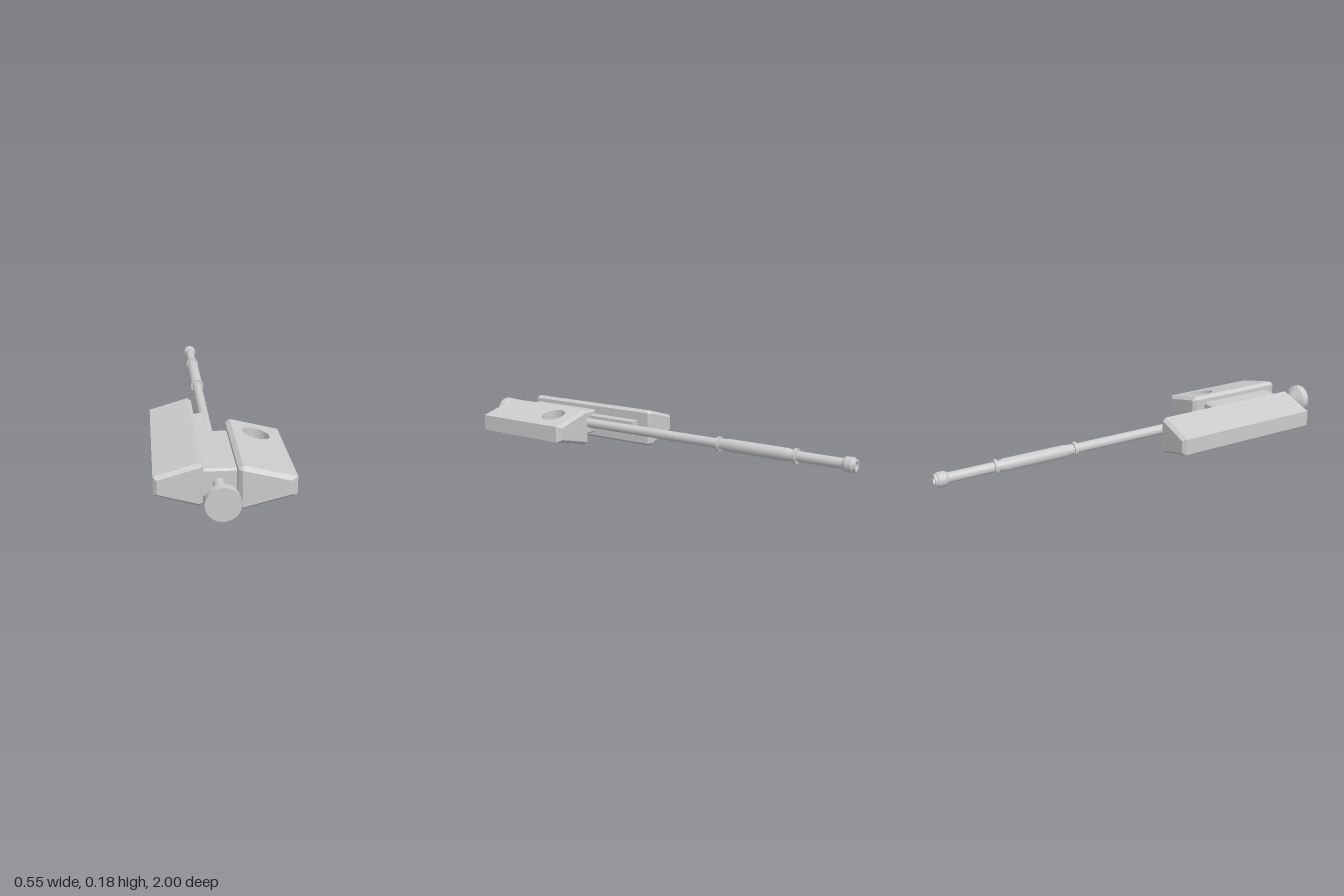
import * as THREE from 'three';
import { mergeGeometries, toCreasedNormals } from 'three/addons/utils/BufferGeometryUtils.js';

const CX = -0.023, CY = 0.093; // axis of the shaft
const material = new THREE.MeshStandardMaterial({ color: 0xcccccc });

function addPart(group, name, geometry, crease = 0.3) {
  const mesh = new THREE.Mesh(toCreasedNormals(geometry, crease), material);
  mesh.name = name;
  group.add(mesh);
  return mesh;
}

// Cross-section symmetric about CY, from [x, half height] pairs running away from the shaft
function ring(half) {
  const pts = [...half.map(([x, h]) => [x, CY - h]), ...half.map(([x, h]) => [x, CY + h]).reverse()];
  return half[0][0] < half[half.length - 1][0] ? pts : pts.reverse(); // counter-clockwise from the front
}

// Solid through rings placed at rising z; skip(segment, edge) leaves a face open
function loft(rings, zs, skip = () => false) {
  const out = [], n = rings[0].length;
  const put = (...corners) => corners.forEach(([k, i]) => out.push(...rings[k][i % n], zs[k]));
  for (let k = 0; k < zs.length - 1; k++) {
    for (let i = 0; i < n; i++) {
      if (skip(k, i)) continue;
      put([k, i], [k, i + 1], [k + 1, i + 1], [k, i], [k + 1, i + 1], [k + 1, i]);
    }
  }
  const last = zs.length - 1;
  for (let i = 1; i < n - 1; i++) {
    put([last, 0], [last, i], [last, i + 1]);
    put([0, 0], [0, i + 1], [0, i]);
  }
  const g = new THREE.BufferGeometry();
  g.setAttribute('position', new THREE.Float32BufferAttribute(out, 3));
  return g;
}

// Solid with bevelled ends
function bevelled(half, insetHalf, z0, z1, bevel, skip) {
  const full = ring(half), inset = ring(insetHalf);
  return loft([inset, full, full, inset], [z0, z0 + bevel, z1 - bevel, z1], skip);
}

// Keep positions only, optionally turning the faces around
function bare(g, flip) {
  if (flip) g.index.array.reverse();
  const out = g.toNonIndexed();
  out.deleteAttribute('uv');
  out.deleteAttribute('normal');
  return out;
}

function holedBlock() {
  const shoulder = [0.065, 0.09], outer = [0.274, 0.038];
  const z0 = 0.36, z1 = 0.88, bevel = 0.018, hx = 0.165, hz = 0.49, r = 0.057;
  const height = x => THREE.MathUtils.mapLinear(x, shoulder[0], outer[0], shoulder[1], outer[1]);
  const shell = bevelled(
    [[0.047, 0.077], shoulder, outer],
    [[0.062, 0.073], [0.066, 0.075], [0.246, 0.029]],
    z0, z1, bevel, (k, i) => k === 1 && (i === 1 || i === 3));

  // Sloping panels pierced by the hole
  const a = z0 + bevel, b = z1 - bevel;
  const plan = new THREE.Shape([[shoulder[0], a], [outer[0], a], [outer[0], b], [shoulder[0], b]]
    .map(p => new THREE.Vector2(...p)));
  plan.holes.push(new THREE.Path().absarc(hx, hz, r, 0, Math.PI * 2, true));
  const panel = side => {
    const g = new THREE.ShapeGeometry(plan, 16).rotateX(Math.PI / 2);
    const p = g.attributes.position;
    for (let i = 0; i < p.count; i++) p.setY(i, CY + side * height(p.getX(i)));
    return bare(g, side > 0);
  };

  // Wall of the hole, trimmed to the slopes
  const wall = new THREE.CylinderGeometry(r, r, 1, 32, 1, true).translate(hx, 0, hz);
  const p = wall.attributes.position;
  for (let i = 0; i < p.count; i++) p.setY(i, CY + Math.sign(p.getY(i)) * height(p.getX(i)));

  return mergeGeometries([shell, panel(1), panel(-1), bare(wall, true)]);
}

export function createModel() {
  const group = new THREE.Group();

  // Shaft with grip, collars, end cap and front knob: [radius, z]
  const profile = [
    [0, -0.985], [0.017, -0.985], [0.017, -1], [0.026, -1], [0.028, -0.99], [0.033, -0.985],
    [0.033, -0.955], [0.026, -0.942], [0.023, -0.942],
    [0.023, -0.737], [0.033, -0.737], [0.033, -0.722], [0.025, -0.722],
    [0.025, -0.71], [0.029, -0.69], [0.029, -0.4], [0.025, -0.375],
    [0.025, -0.357], [0.033, -0.357], [0.033, -0.342], [0.023, -0.342],
    [0.023, 0.895], [0.034, 0.895], [0.034, 0.91], [0.023, 0.91],
    [0.023, 0.932], [0.068, 0.968], [0.068, 1], [0, 1],
  ].map(p => new THREE.Vector2(...p));
  const shaft = addPart(group, 'shaft',
    new THREE.LatheGeometry(profile, 40).rotateX(Math.PI / 2), 0.25);
  shaft.position.set(CX, CY, 0);

  // Long wedge block on the right, short pierced one on the left
  addPart(group, 'longBlock', bevelled(
    [[-0.083, 0.077], [-0.1, 0.09], [-0.274, 0.038]],
    [[-0.096, 0.073], [-0.099, 0.075], [-0.26, 0.029]],
    0.08, 0.84, 0.016));
  addPart(group, 'holedBlock', holedBlock());

  // Housing that joins the blocks around the shaft
  addPart(group, 'housing', bevelled(
    [[-0.092, 0.051], [-0.08, 0.059], [0.042, 0.059], [0.054, 0.051]],
    [[-0.088, 0.045], [-0.078, 0.051], [0.04, 0.051], [0.05, 0.045]],
    0.425, 0.82, 0.008));

  // Rib between shaft and long block
  const rib = addPart(group, 'rib', new THREE.BoxGeometry(0.055, 0.072, 0.29));
  rib.position.set(-0.0625, CY, 0.3);

  return group;
}
